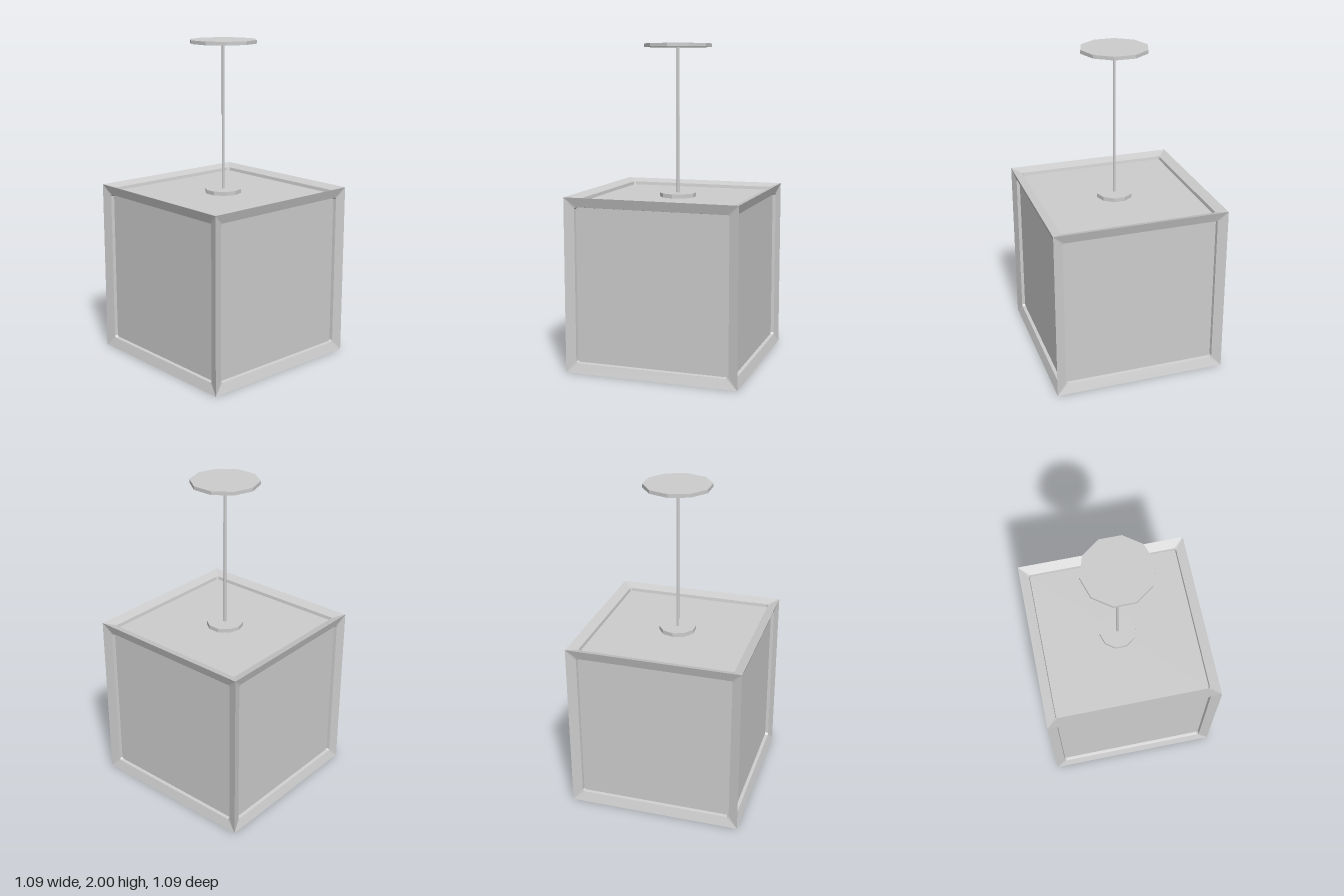
import * as THREE from 'three';

const HALF = 0.5425; // half the cube's edge
const metal = new THREE.MeshStandardMaterial({ color: 0xcccccc, flatShading: true });

// Square ring of 8 points, anticlockwise, with its corners cut by c
function ring(h, z, c) {
  const points = [];
  for (let i = 0; i < 4; i++) {
    const a = (i * Math.PI) / 2;
    for (const [x, y] of [[h, h - c], [h - c, h]]) {
      points.push(new THREE.Vector3(
        x * Math.cos(a) - y * Math.sin(a), x * Math.sin(a) + y * Math.cos(a), z));
    }
  }
  return points;
}

// One mitred frame side: a slope from the cube's edge inward, then a small step to the panel
function frameGeometry() {
  const rings = [ring(HALF, HALF, 0), ring(0.483, HALF - 0.02, 0.01), ring(0.479, HALF - 0.042, 0.01)];
  const pos = [];
  const tri = new THREE.Triangle();
  const add = (a, b, c) => {
    if (tri.set(a, b, c).getArea() > 1e-9) for (const p of [a, b, c]) pos.push(p.x, p.y, p.z);
  };
  for (let r = 0; r < rings.length - 1; r++) {
    for (let i = 0; i < 8; i++) {
      const j = (i + 1) % 8, o = rings[r], n = rings[r + 1];
      add(o[i], o[j], n[j]);
      add(o[i], n[j], n[i]);
    }
  }
  const geometry = new THREE.BufferGeometry();
  geometry.setAttribute('position', new THREE.Float32BufferAttribute(pos, 3));
  geometry.computeVertexNormals();
  return geometry;
}

export function createModel() {
  const model = new THREE.Group();
  model.name = 'pendantLamp';

  const add = (name, geometry, y, parent = model) => {
    const mesh = new THREE.Mesh(geometry, metal);
    mesh.name = name;
    mesh.position.y = y;
    parent.add(mesh);
    return mesh;
  };

  // Shade: inner panels with a bevelled frame on all six sides
  const shade = new THREE.Group();
  shade.name = 'shade';
  shade.position.y = HALF;
  model.add(shade);
  const inner = 2 * (HALF - 0.04);
  add('panels', new THREE.BoxGeometry(inner, inner, inner), 0, shade);
  const frame = frameGeometry();
  const q = Math.PI / 2;
  const sides = {
    frontFrame: [0, 0], leftFrame: [0, q], backFrame: [0, 2 * q],
    rightFrame: [0, -q], topFrame: [-q, 0], bottomFrame: [q, 0],
  };
  for (const [name, [rx, ry]] of Object.entries(sides)) {
    add(name, frame, 0, shade).rotation.set(rx, ry, 0);
  }

  // Hanging rod with its two ten-sided plates
  add('mountingPlate', new THREE.CylinderGeometry(0.115, 0.115, 0.025, 10), 1.0575);
  add('rod', new THREE.CylinderGeometry(0.009, 0.009, 0.925, 10), 1.5225);
  add('ceilingPlate', new THREE.CylinderGeometry(0.21, 0.21, 0.022, 10), 1.989);

  return model;
}
